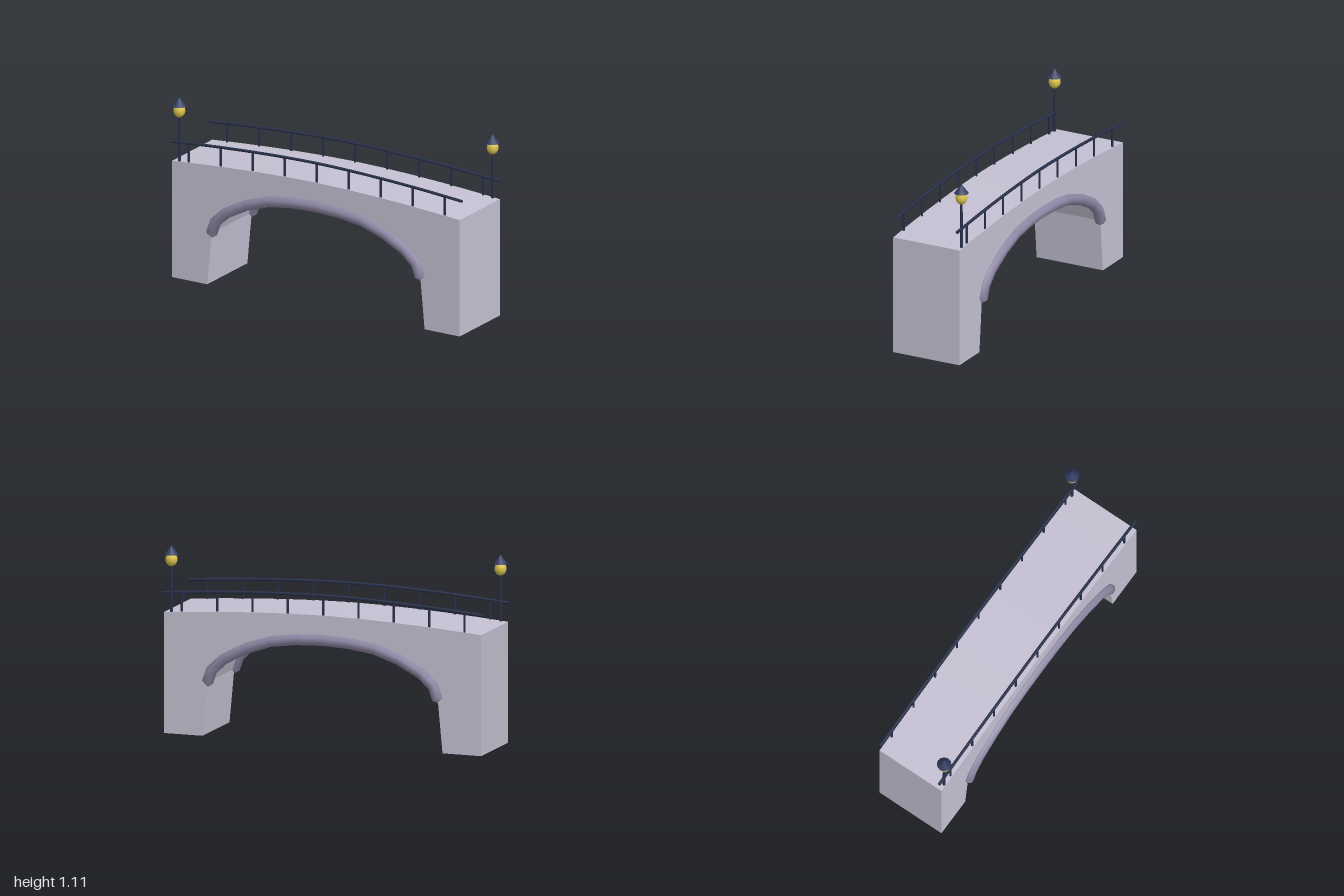
import * as THREE from 'three';

const stone = new THREE.MeshStandardMaterial({ name: 'pale stone', color: 0xc4c0d2 });
const trim = new THREE.MeshStandardMaterial({ name: 'arch trim stone', color: 0x8e87a4 });
const iron = new THREE.MeshStandardMaterial({ name: 'dark iron', color: 0x28304b });
const roofIron = new THREE.MeshStandardMaterial({ name: 'lamp cap blue', color: 0x2f3a5e });
const glow = new THREE.MeshStandardMaterial({ name: 'lamp yellow', color: 0xdcc44e });

const HALF = 0.988, SIDE = 0.22, RAIL_Z = 0.209;
const rise = x => 1 - Math.abs(x) ** 1.75;
const deckY = x => 0.717 + 0.048 * rise(x / HALF);
const railY = x => 0.831 + 0.05 * rise(x);

// Right half of the arch, springing point to crown, mirrored to the other side
const halfArch = [[0.717, 0.32], [0.69, 0.395], [0.615, 0.465], [0.476, 0.538], [0.322, 0.59], [0.165, 0.612], [0, 0.619]];
const arch = [...halfArch, ...halfArch.slice(0, -1).reverse().map(([x, y]) => [-x, y])];

function add(parent, name, geometry, material, x = 0, y = 0, z = 0) {
  const mesh = new THREE.Mesh(geometry, material);
  mesh.name = name;
  mesh.position.set(x, y, z);
  parent.add(mesh);
  return mesh;
}

// Bridge body: side outline swept across the width
function bodyGeometry() {
  const outline = [[0.747, 0], ...arch, [-0.747, 0], [-HALF, 0]];
  for (let i = 0; i <= 10; i++) {
    const x = -HALF + (2 * HALF * i) / 10;
    outline.push([x, deckY(x)]);
  }
  outline.push([HALF, 0]);
  const shape = new THREE.Shape(outline.map(p => new THREE.Vector2(...p)));
  return new THREE.ExtrudeGeometry(shape, { depth: 2 * SIDE, bevelEnabled: false }).translate(0, 0, -SIDE);
}

// Eight-sided moulding along the arch, closed by a short point at each foot
function trimGeometry(sides = 8, radius = 0.034) {
  const n = arch.length, pos = [], index = [];
  arch.forEach(([x, y], i) => {
    const a = arch[Math.max(i - 1, 0)], b = arch[Math.min(i + 1, n - 1)];
    const t = new THREE.Vector2(b[0] - a[0], b[1] - a[1]).normalize();
    for (let j = 0; j < sides; j++) {
      const u = ((j + 0.5) / sides) * Math.PI * 2;
      const out = Math.cos(u) * radius;
      pos.push(x + t.y * out, y - t.x * out, Math.sin(u) * radius);
    }
  });
  for (let i = 0; i < n - 1; i++) {
    for (let j = 0; j < sides; j++) {
      const k = (j + 1) % sides;
      const a = i * sides + j, b = i * sides + k, c = a + sides, d = b + sides;
      index.push(a, c, b, b, c, d);
    }
  }
  const foot = pos.length / 3, end = (n - 1) * sides;
  pos.push(0.714, 0.294, 0, -0.714, 0.294, 0);
  for (let j = 0; j < sides; j++) {
    const k = (j + 1) % sides;
    index.push(foot, j, k, foot + 1, end + k, end + j);
  }
  const g = new THREE.BufferGeometry();
  g.setAttribute('position', new THREE.Float32BufferAttribute(pos, 3));
  g.setIndex(index);
  g.computeVertexNormals();
  return g;
}

// Curved handrail with evenly spaced balusters
function railing(name, z) {
  const group = new THREE.Group();
  group.name = name;
  const points = [];
  for (let i = 0; i <= 8; i++) {
    const x = -0.998 + (1.996 * i) / 8;
    points.push(new THREE.Vector3(x, railY(x), z));
  }
  add(group, 'handrail', new THREE.TubeGeometry(new THREE.CatmullRomCurve3(points), 24, 0.009, 8), iron);
  for (const side of [-1, 1]) {
    const cap = add(group, 'handrailEnd', new THREE.CircleGeometry(0.009, 8), iron, side * 0.998, railY(0.998), z);
    cap.rotation.y = side * Math.PI / 2;
  }
  for (let i = -4; i <= 4; i++) {
    const x = i * 0.22, low = deckY(x) - 0.01, high = railY(x);
    add(group, 'baluster', new THREE.CylinderGeometry(0.007, 0.007, high - low, 6), iron, x, (low + high) / 2, z);
  }
  return group;
}

// Lamp post with egg-shaped light and pointed cap
function lamp(name, x, z) {
  const group = new THREE.Group();
  group.name = name;
  group.position.set(x, 0, z);
  add(group, 'lampPost', new THREE.CylinderGeometry(0.008, 0.009, 0.29, 8), iron, 0, 0.86, 0);
  add(group, 'lampGlobe', new THREE.SphereGeometry(0.035, 16, 12), glow, 0, 1.031, 0).scale.y = 1.17;
  add(group, 'lampCap', new THREE.CylinderGeometry(0.004, 0.043, 0.05, 12), roofIron, 0, 1.085, 0);
  return group;
}

export function createModel() {
  const model = new THREE.Group();
  model.name = 'archedBridge';
  add(model, 'bridgeBody', bodyGeometry(), stone);
  add(model, 'frontArchTrim', trimGeometry(), trim, 0, 0, SIDE);
  add(model, 'backArchTrim', trimGeometry(), trim, 0, 0, -SIDE);
  model.add(railing('frontRailing', RAIL_Z), railing('backRailing', -RAIL_Z));
  model.add(lamp('frontLamp', -0.945, RAIL_Z), lamp('backLamp', 0.945, -RAIL_Z));
  return model;
}
